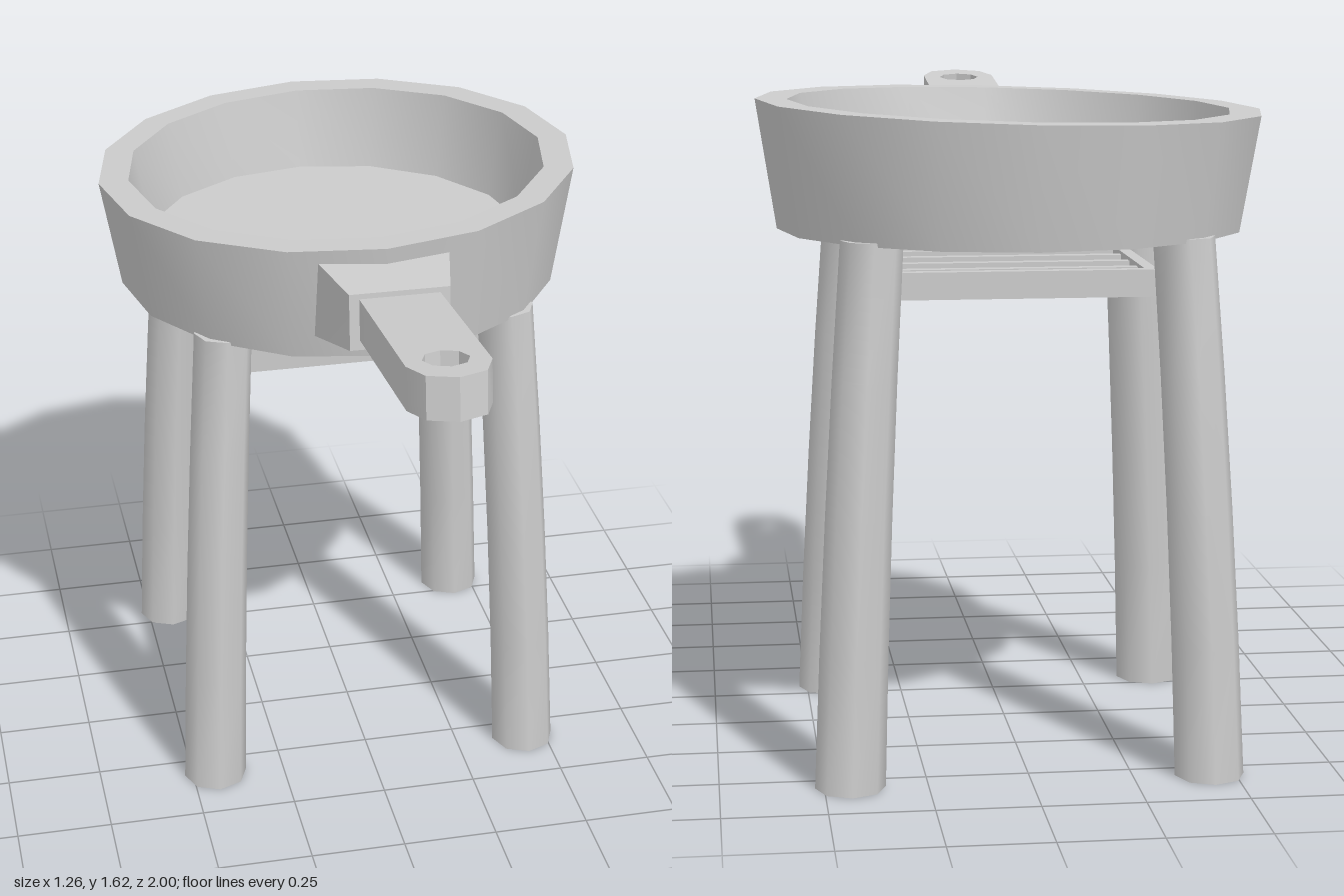
import * as THREE from 'three';
import { toCreasedNormals } from 'three/addons/utils/BufferGeometryUtils.js';

const CENTER_Z = -0.37;

export function createModel() {
  const model = new THREE.Group();
  model.name = 'panOnStand';
  const material = new THREE.MeshStandardMaterial({ color: 0xcccccc });

  const add = (name, geometry, parent = model) => {
    const mesh = new THREE.Mesh(geometry, material);
    mesh.name = name;
    parent.add(mesh);
    return mesh;
  };
  // Moves every vertex of a geometry by a rule
  const reshape = (geometry, rule) => {
    const p = geometry.attributes.position;
    const v = new THREE.Vector3();
    for (let i = 0; i < p.count; i++) {
      rule(v.fromBufferAttribute(p, i));
      p.setXYZ(i, v.x, v.y, v.z);
    }
    geometry.computeVertexNormals();
    return geometry;
  };

  // Pan bowl: 16-sided, with a slightly tilted rim
  const profile = [[0, 1.3], [0.58, 1.3], [0.63, 1.603], [0.552, 1.603], [0.512, 1.38], [0, 1.38]]
    .map(([r, y]) => new THREE.Vector2(r, y));
  const bowl = reshape(new THREE.LatheGeometry(profile, 16), (v) => {
    if (v.y > 1.5) v.y += v.x * 0.027 + v.z * 0.016;
  });
  add('panBowl', toCreasedNormals(bowl, 0.6)).position.z = CENTER_Z;

  // Tapered bracket joining handle and bowl
  const bracket = reshape(new THREE.BoxGeometry(2, 2, 2), (v) => {
    const front = v.z > 0;
    const top = v.y > 0;
    v.x *= front ? 0.125 : 0.17;
    v.y = top ? (front ? 1.563 : 1.573) : (front ? 1.42 : 1.36);
    v.z = front ? (top ? 0.397 : 0.408) : (top ? 0.2 : 0.18);
  });
  add('handleBracket', toCreasedNormals(bracket, 0.3));

  // Handle: flat bar with a round end and a hanging hole
  const outline = new THREE.Shape();
  outline.moveTo(-0.1, -0.12);
  outline.lineTo(0.1, -0.12);
  for (let i = 0; i <= 4; i++) {
    const a = (i * Math.PI) / 4;
    outline.lineTo(0.1 * Math.cos(a), 0.495 + 0.1 * Math.sin(a));
  }
  outline.closePath();
  const hole = new THREE.Path();
  for (let i = 0; i < 8; i++) {
    const a = (-i * Math.PI) / 4;
    const x = 0.056 * Math.cos(a), y = 0.465 + 0.056 * Math.sin(a);
    if (i) hole.lineTo(x, y); else hole.moveTo(x, y);
  }
  hole.closePath();
  outline.holes.push(hole);
  const bar = new THREE.ExtrudeGeometry(outline, { depth: 0.105, bevelEnabled: false });
  bar.rotateX(Math.PI / 2);
  const handle = add('handle', toCreasedNormals(bar, 0.5));
  handle.position.set(0, 1.55, 0.4);
  handle.rotation.x = -0.117;

  // Four splayed, gently bowed legs
  const legs = new THREE.Group();
  legs.name = 'legs';
  legs.position.z = CENTER_Z;
  model.add(legs);
  for (const sx of [-1, 1]) {
    for (const sz of [-1, 1]) {
      const leg = new THREE.CylinderGeometry(0.075, 0.085, 1.31, 8, 4);
      leg.translate(0, 0.655, 0);
      reshape(leg, (v) => {
        const spread = 0.437 - 0.032 * v.y - 0.014 * v.y * v.y;
        v.x += sx * spread;
        v.z += sz * spread;
      });
      add(`${sz > 0 ? 'front' : 'back'}${sx > 0 ? 'Left' : 'Right'}Leg`, toCreasedNormals(leg, 0.9), legs);
    }
  }

  // Rack under the pan: square frame with crossing bars
  const rack = new THREE.Group();
  rack.name = 'rack';
  rack.position.set(0, 1.192, CENTER_Z);
  model.add(rack);
  const half = 0.32;
  const box = (name, w, h, d, x, y, z) =>
    add(name, new THREE.BoxGeometry(w, h, d), rack).position.set(x, y, z);
  for (const s of [-1, 1]) {
    box('rackSide', 0.03, 0.066, 2 * half, s * (half - 0.015), 0, 0);
    box('rackEnd', 2 * half - 0.06, 0.066, 0.03, 0, 0, s * (half - 0.015));
  }
  for (let i = -1; i <= 1; i++) box('lowerBar', 0.025, 0.025, 0.6, i * 0.15, -0.012, 0);
  for (let i = -1.5; i <= 1.5; i++) box('upperBar', 0.6, 0.025, 0.03, 0, 0.012, i * 0.125);

  return model;
}
